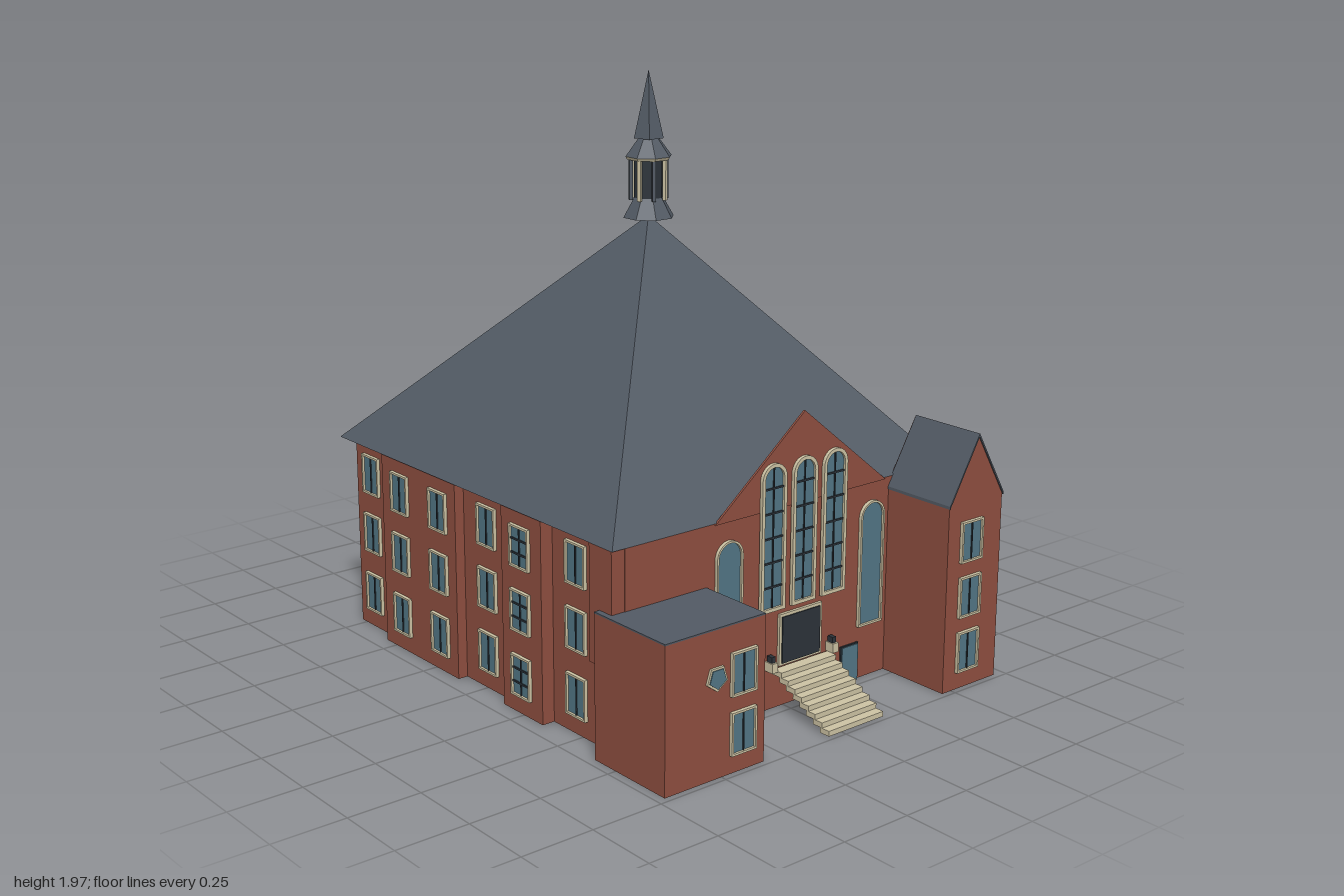
import * as THREE from 'three';
import { ConvexGeometry } from 'three/addons/geometries/ConvexGeometry.js';

const mat = (color) => new THREE.MeshStandardMaterial({ color, flatShading: true, side: THREE.DoubleSide });
const BRICK = mat(0x8f4f40), SLATE = mat(0x525a64), GLASS = mat(0x527685),
  TRIM = mat(0xcdc3a4), DARK = mat(0x2c333a);

function add(parent, name, geometry, material, x = 0, y = 0, z = 0) {
  const mesh = new THREE.Mesh(geometry, material);
  mesh.name = name;
  mesh.position.set(x, y, z);
  parent.add(mesh);
  return mesh;
}

// Box given by its limits on each axis
function box(parent, name, material, [x0, x1], [y0, y1], [z0, z1]) {
  return add(parent, name, new THREE.BoxGeometry(x1 - x0, y1 - y0, z1 - z0), material,
    (x0 + x1) / 2, (y0 + y1) / 2, (z0 + z1) / 2);
}

const hull = (points) => new ConvexGeometry(points.map((p) => new THREE.Vector3(...p)));

// Upright outline, with a flat or arched head, base at y = 0
function outline(Type, w, h, arch, inset = 0) {
  const s = new Type(), a = w / 2 - inset, top = h - (arch ? w / 2 : inset);
  s.moveTo(-a, inset);
  s.lineTo(a, inset);
  s.lineTo(a, top);
  if (arch) s.absarc(0, top, a, 0, Math.PI, false);
  else s.lineTo(-a, top);
  s.closePath();
  return s;
}

// Framed window facing +z before turning
function addWindow(parent, name, x, y, z, turn = 0, { w = 0.1, h = 0.14, arch = false, bars = 1, t = 0.007 } = {}) {
  const g = new THREE.Group();
  g.name = name;
  g.position.set(x, y, z);
  g.rotation.y = turn;
  const frame = outline(THREE.Shape, w, h, arch);
  frame.holes.push(outline(THREE.Path, w, h, arch, t));
  const opts = { depth: 0.012, bevelEnabled: false, curveSegments: 8 };
  add(g, 'frame', new THREE.ExtrudeGeometry(frame, opts), TRIM);
  add(g, 'pane', new THREE.ShapeGeometry(outline(THREE.Shape, w, h, arch, t), 8), GLASS, 0, 0, 0.004);
  if (bars) box(g, 'mullion', DARK, [-0.002, 0.002], [t, h - t], [0.004, 0.008]);
  for (let i = 1; i < bars; i++) {
    const yy = (h * i) / bars;
    box(g, 'glazingBar', DARK, [t - w / 2, w / 2 - t], [yy - 0.003, yy + 0.003], [0.004, 0.008]);
  }
  parent.add(g);
}

function addWalls(root) {
  // Footprint as [x, z], stepped along both sides
  const plan = [[-0.65, 0.71], [0.71, 0.71], [0.71, 0.36], [0.65, 0.36], [0.65, 0.155], [0.69, 0.155],
    [0.69, -0.24], [0.65, -0.24], [0.65, -0.44], [0.69, -0.44], [0.69, -0.81], [0.1, -0.81], [-0.35, -0.8],
    [-0.66, -0.78], [-0.66, -0.56], [-0.695, -0.56], [-0.695, -0.12], [-0.66, -0.12],
    [-0.66, 0.14], [-0.695, 0.14], [-0.695, 0.35], [-0.65, 0.35]];
  const shape = new THREE.Shape(plan.map(([x, z]) => new THREE.Vector2(x, -z)));
  const walls = new THREE.ExtrudeGeometry(shape, { depth: 0.68, bevelEnabled: false });
  add(root, 'mainWalls', walls.rotateX(-Math.PI / 2), BRICK);
  box(root, 'frontLeftCornerWall', BRICK, [-0.7, -0.6], [0.3, 0.68], [0.6, 0.708]);

  // Low flat-roofed wings
  for (const [name, xs, zs] of [['frontWing', [-0.72, -0.33], [0.65, 0.98]], ['backWing', [0.46, 0.68], [-1, -0.79]]]) {
    box(root, name, BRICK, xs, [0, 0.475], zs);
    box(root, name + 'Roof', SLATE, xs, [0.475, 0.48], zs);
  }

  // Corner tower with a ridged roof
  box(root, 'tower', BRICK, [0.46, 0.71], [0, 0.64], [0.7, 0.98]);
  add(root, 'towerGable', hull([[0.46, 0.64, 0.7], [0.71, 0.64, 0.7], [0.585, 0.855, 0.7],
    [0.46, 0.64, 0.98], [0.71, 0.64, 0.98], [0.585, 0.855, 0.98]]), BRICK);
  for (const s of [-1, 1]) {
    const x = 0.585 + s * 0.127;
    add(root, 'towerRoof', hull([0.705, 0.985].flatMap((z) => [[x, 0.635, z], [x, 0.645, z],
      [0.585, 0.865, z], [0.585, 0.855, z]])), SLATE);
  }

  // Flat gable on the front wall
  const gable = new THREE.Shape([[-0.3, 0.675], [0.44, 0.675], [0.07, 0.975]].map((p) => new THREE.Vector2(...p)));
  add(root, 'frontGable', new THREE.ExtrudeGeometry(gable, { depth: 0.008, bevelEnabled: false }), BRICK, 0, 0, 0.707);
}

function addSteeple(root) {
  const g = new THREE.Group();
  g.name = 'steeple';
  g.position.set(0.07, 0, -0.06);
  root.add(g);
  const ring = (name, y0, y1, r0, r1, material, sides = 8) =>
    add(g, name, new THREE.CylinderGeometry(r1, r0, y1 - y0, sides), material, 0, (y0 + y1) / 2, 0)
      .rotation.y = Math.PI / sides;
  ring('flaredBase', 1.48, 1.55, 0.088, 0.048, SLATE);
  ring('belfryCore', 1.54, 1.68, 0.05, 0.05, DARK);
  ring('corniceTrim', 1.675, 1.685, 0.074, 0.08, TRIM);
  ring('belfryRoof', 1.685, 1.745, 0.08, 0.035, SLATE);
  ring('spire', 1.745, 1.97, 0.052, 0, SLATE, 5);
  for (let i = 0; i < 8; i++) {
    const a = ((i + 0.5) * Math.PI) / 4;
    const post = add(g, 'belfryPost', new THREE.BoxGeometry(0.012, 0.14, 0.012), i % 2 ? SLATE : TRIM,
      0.062 * Math.sin(a), 1.61, 0.062 * Math.cos(a));
    post.rotation.y = a;
  }
}

function addEntrance(root) {
  box(root, 'doorFrame', TRIM, [-0.028, 0.158], [0.142, 0.318], [0.71, 0.72]);
  box(root, 'door', DARK, [-0.018, 0.148], [0.15, 0.308], [0.715, 0.724]);
  // Open flight of steps
  const n = 8, rise = 0.14 / n, run = 0.25 / n;
  for (let i = 0; i < n; i++) {
    const y = (i + 1) * rise, z = 0.98 - i * run;
    box(root, 'step', TRIM, [-0.055, 0.185], [y - rise, y], [z - run * 1.3, z]);
  }
  for (const x of [-0.068, 0.2]) {
    box(root, 'lantern', TRIM, [x - 0.012, x + 0.012], [0.138, 0.17], [0.71, 0.745]);
    box(root, 'lanternCap', DARK, [x - 0.008, x + 0.008], [0.17, 0.19], [0.715, 0.738]);
  }
  for (const x of [-0.16, 0.293]) {
    box(root, 'basementDoorFrame', DARK, [x - 0.04, x + 0.04], [0, 0.132], [0.71, 0.716]);
    box(root, 'basementDoor', GLASS, [x - 0.036, x + 0.036], [0, 0.128], [0.712, 0.719]);
  }
}

function addWindows(root) {
  // Tall arched windows of the front
  for (const x of [-0.065, 0.068, 0.2])
    addWindow(root, 'gableWindow', x, 0.34, 0.716, 0, { w: 0.104, h: 0.49, arch: true, bars: 6, t: 0.012 });
  for (const x of [-0.243, 0.38])
    addWindow(root, 'archedWindow', x, 0.185, 0.711, 0, { w: 0.108, h: 0.43, arch: true, bars: 0 });

  // Tower and front wing windows
  for (const y of [0.06, 0.25, 0.44]) addWindow(root, 'towerWindow', 0.565, y, 0.981);
  for (const y of [0.06, 0.25]) addWindow(root, 'wingWindow', -0.42, y, 0.981);
  add(root, 'plaqueRim', new THREE.CylinderGeometry(0.042, 0.042, 0.01, 5), TRIM, -0.525, 0.325, 0.983).rotation.x = Math.PI / 2;
  add(root, 'plaque', new THREE.CylinderGeometry(0.034, 0.034, 0.014, 5), GLASS, -0.525, 0.325, 0.984).rotation.x = Math.PI / 2;

  // Three storeys along each side: [z, right-hand wall x, left-hand wall x]
  const columns = [[0.475, -0.65, 0.71], [0.245, -0.695, 0.65], [0.015, -0.66, 0.69],
    [-0.215, -0.695, 0.69], [-0.445, -0.695, 0.69], [-0.68, -0.66, 0.69]];
  for (const [z, xr, xl] of columns)
    for (const y of [0.06, 0.28, 0.495]) {
      const bars = xl < 0.66 ? 3 : 1;
      addWindow(root, 'sideWindow', xl + 0.001, y, z, Math.PI / 2, { bars });
      addWindow(root, 'sideWindow', xr - 0.001, y, z, -Math.PI / 2, { bars });
    }
}

export function createModel() {
  const root = new THREE.Group();
  root.name = 'brickHall';
  addWalls(root);
  // Steep hipped roof with an off-centre peak
  add(root, 'mainRoof', hull([[-0.7, 0.68, -0.82], [0.71, 0.68, -0.82], [0.71, 0.68, 0.712],
    [-0.7, 0.68, 0.712], [0.07, 1.485, -0.06]]), SLATE);
  addSteeple(root);
  addEntrance(root);
  addWindows(root);
  return root;
}
